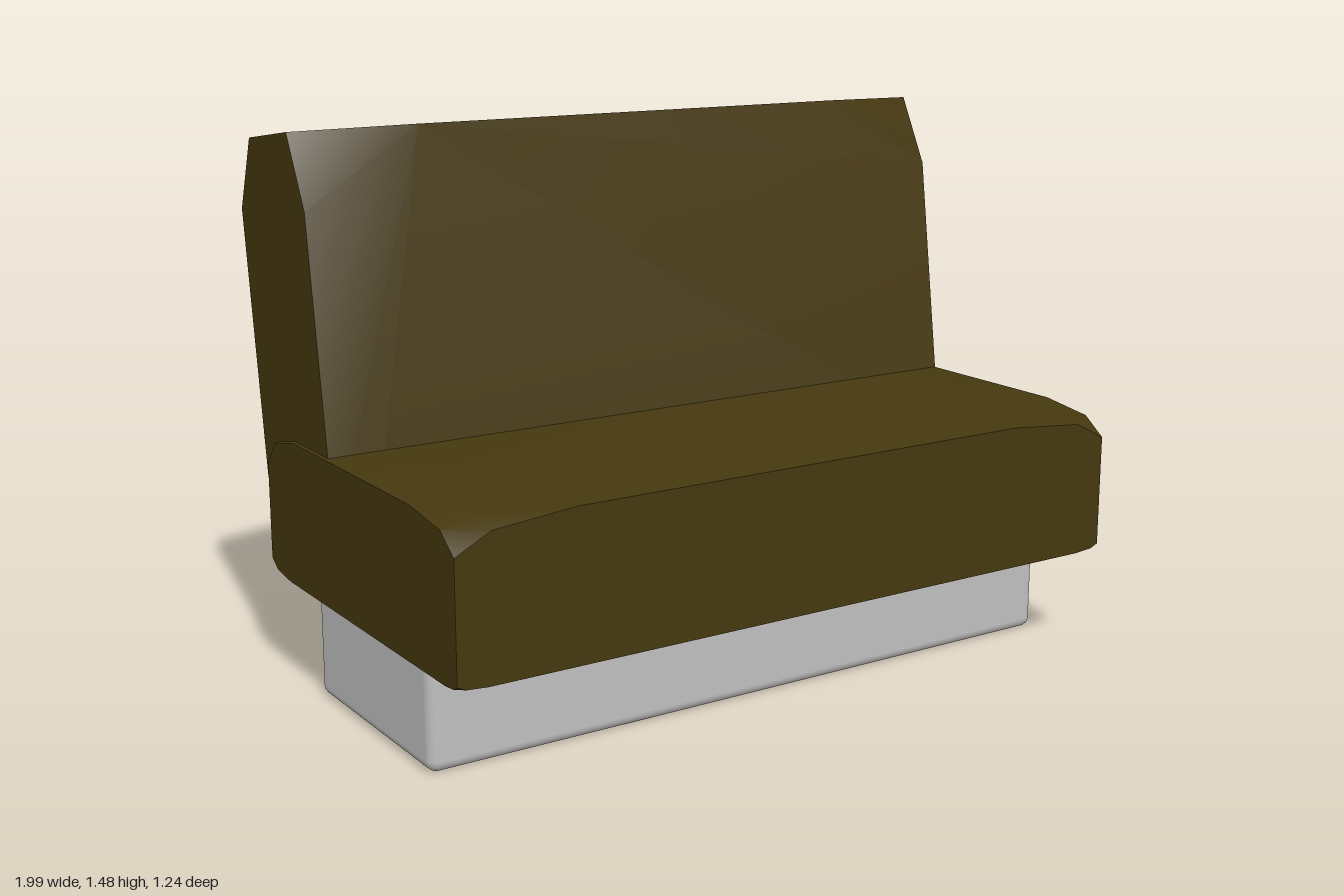
import * as THREE from 'three';
import { ConvexGeometry } from 'three/addons/geometries/ConvexGeometry.js';
import { RoundedBoxGeometry } from 'three/addons/geometries/RoundedBoxGeometry.js';
import { toCreasedNormals } from 'three/addons/utils/BufferGeometryUtils.js';

// Padded block whose eight corners are cut; cut(top, front) gives [dx, dy, dz].
// A bulge above 0 rounds the cut by adding a point on each face.
function cushion([x0, x1], [y0, y1], [z0, z1], cut, bulge = 0) {
  const points = [];
  for (const right of [false, true]) for (const top of [false, true]) for (const front of [false, true]) {
    const c = cut(top, front);
    const add = (a, b, d) => points.push(new THREE.Vector3(
      right ? x1 - a * c[0] : x0 + a * c[0],
      top ? y1 - b * c[1] : y0 + b * c[1],
      front ? z1 - d * c[2] : z0 + d * c[2]));
    add(1, 0, 0);
    add(0, 1, 0);
    add(0, 0, 1);
    if (bulge) {
      add(bulge, bulge, 0);
      add(bulge, 0, bulge);
      add(0, bulge, bulge);
    }
  }
  return toCreasedNormals(new ConvexGeometry(points), 0.45);
}

export function createModel() {
  const upholstery = new THREE.MeshStandardMaterial({ color: 0x45380f });
  upholstery.name = 'olive brown upholstery';
  const plinthGrey = new THREE.MeshStandardMaterial({ color: 0xbfbfbf });
  plinthGrey.name = 'light grey plinth';

  const group = new THREE.Group();
  const add = (name, geometry, material, x = 0, y = 0, z = 0) => {
    const mesh = new THREE.Mesh(geometry, material);
    mesh.name = name;
    mesh.position.set(x, y, z);
    group.add(mesh);
    return mesh;
  };

  // Plinth with softly rounded edges, its top sunk into the seat
  add('plinth', new RoundedBoxGeometry(1.93, 0.34, 0.645, 3, 0.03), plinthGrey, -0.005, 0.175, 0.0875);

  // Seat cushion: upper corners droop, lower ones are cut lightly
  add('seat', cushion([-1, 0.992], [0.29, 0.68], [-0.46, 0.62], (top, front) => {
    if (top) return front ? [0.32, 0.07, 0.22] : [0.32, 0.09, 0.18];
    return front ? [0.08, 0.015, 0.06] : [0.2, 0.035, 0.12];
  }, 0.3), upholstery);

  // Backrest, leaning back, with large cuts at the corners of its rear face
  const back = add('backrest', cushion([-0.988, 0.994], [0, 1.08], [0, 0.42], (top, front) => {
    if (top) return front ? [0.33, 0.2, 0.07] : [0.33, 0.18, 0.1];
    return front ? [0.1, 0.05, 0.05] : [0.25, 0.18, 0.09];
  }), upholstery, 0, 0.362, -0.468);
  back.rotation.x = -0.137;

  return group;
}
